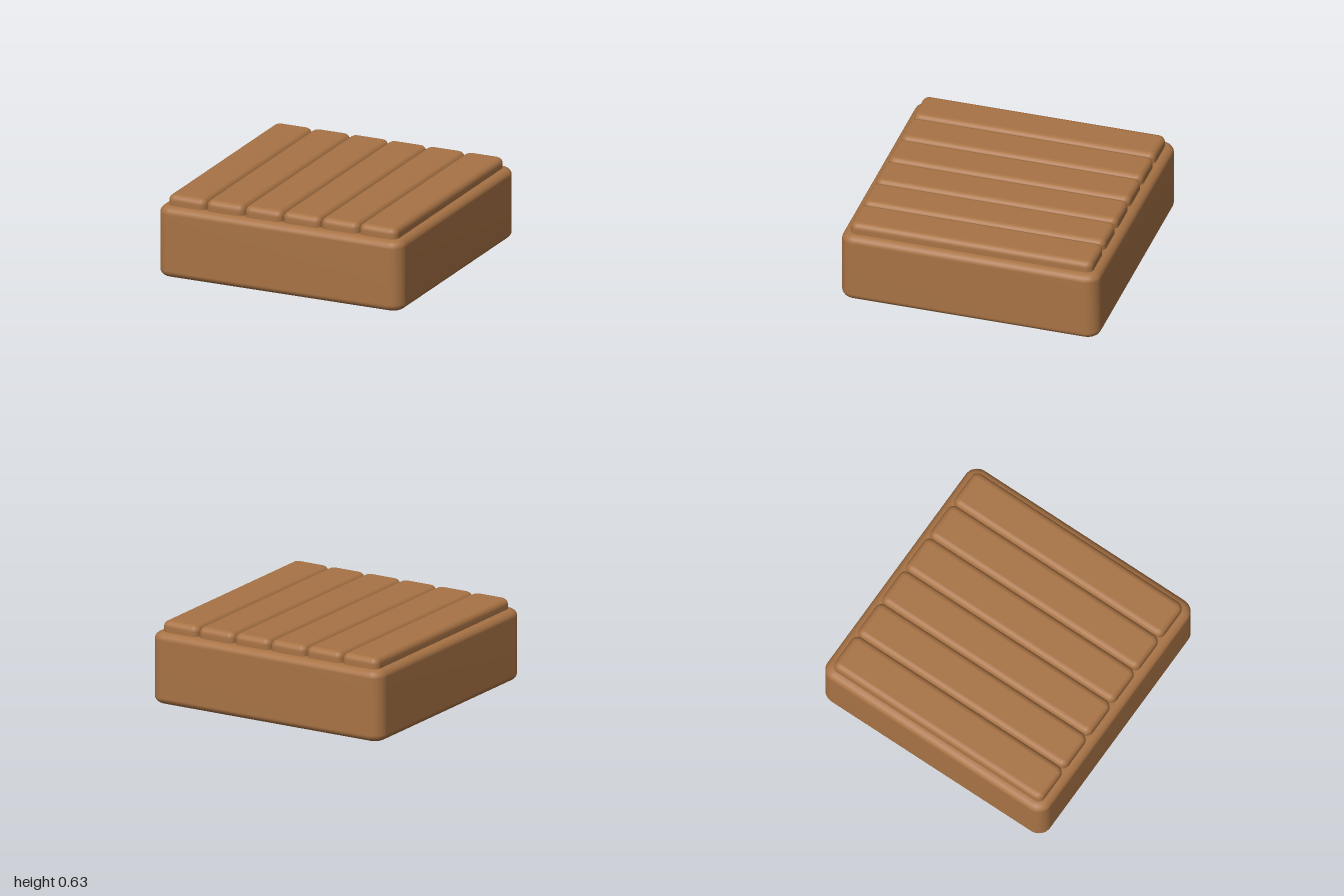
import * as THREE from 'three';
import { mergeVertices } from 'three/addons/utils/BufferGeometryUtils.js';

// Smooth slab standing on y = 0, with rounded corners in plan and soft top and bottom edges
function softSlab(width, height, depth, corner, edge, rise) {
  const x = width / 2 - edge, z = depth / 2 - edge, r = corner - edge;
  const shape = new THREE.Shape();
  shape.moveTo(-x + r, -z);
  shape.lineTo(x - r, -z);
  shape.absarc(x - r, -z + r, r, -Math.PI / 2, 0);
  shape.lineTo(x, z - r);
  shape.absarc(x - r, z - r, r, 0, Math.PI / 2);
  shape.lineTo(-x + r, z);
  shape.absarc(-x + r, z - r, r, Math.PI / 2, Math.PI);
  shape.lineTo(-x, -z + r);
  shape.absarc(-x + r, -z + r, r, Math.PI, Math.PI * 1.5);
  let geometry = new THREE.ExtrudeGeometry(shape, {
    depth: height - 2 * rise, bevelThickness: rise, bevelSize: edge, bevelSegments: 5, curveSegments: 4,
  });
  geometry.translate(0, 0, rise);
  geometry.rotateX(-Math.PI / 2);
  // Weld the faces so the shading runs smoothly over the edges
  geometry.deleteAttribute('normal');
  geometry.deleteAttribute('uv');
  geometry = mergeVertices(geometry, 1e-4);
  geometry.computeVertexNormals();
  return geometry;
}

export function createModel() {
  const model = new THREE.Group();
  model.name = 'plankPlatform';
  const wood = new THREE.MeshStandardMaterial({ color: 0xa87345 });
  wood.name = 'wood';

  // Solid base block
  const base = new THREE.Mesh(softSlab(2, 0.55, 2, 0.105, 0.065, 0.055), wood);
  base.name = 'base';
  model.add(base);

  // Six planks side by side, sunk slightly into the base
  const count = 6, pitch = 0.3125, top = 0.63, thickness = 0.14;
  const plankGeometry = softSlab(0.311, thickness, 1.875, 0.055, 0.045, 0.045);
  for (let i = 0; i < count; i++) {
    const plank = new THREE.Mesh(plankGeometry, wood);
    plank.name = `plank${i + 1}`;
    plank.position.set((i - (count - 1) / 2) * pitch, top - thickness, 0);
    model.add(plank);
  }
  return model;
}
